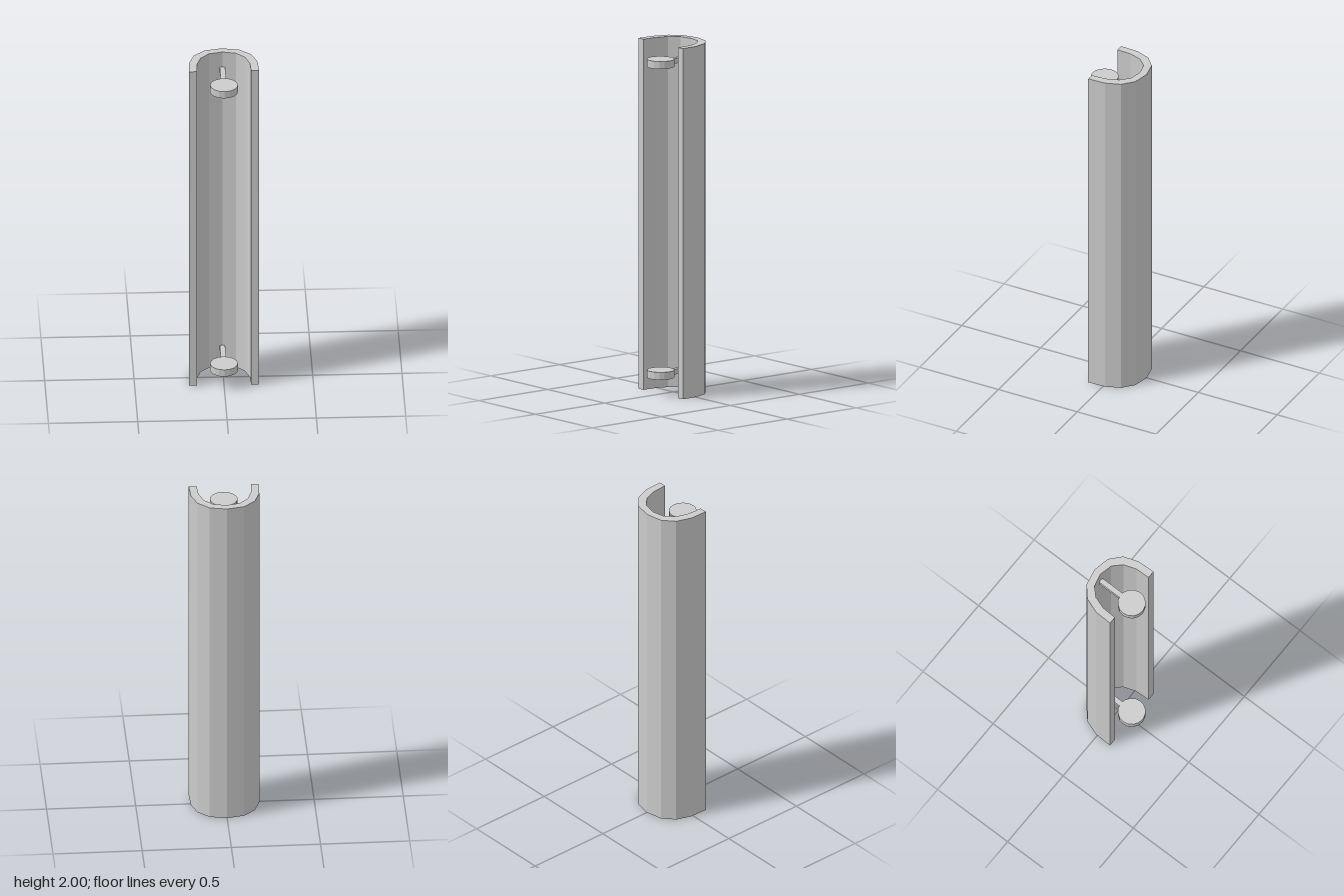
import * as THREE from 'three';

const material = new THREE.MeshStandardMaterial({ color: 0xcccccc, flatShading: true });

// Half cross-sections as [x, z], from the back ridge to the front lip
const OUTER = [[0, -0.173], [0.097, -0.153], [0.161, -0.096], [0.192, -0.01], [0.196, 0.093]];
const INNER = [[0, -0.13], [0.075, -0.113], [0.124, -0.064], [0.148, 0.008], [0.152, 0.093]];

const mirrored = (half) => [
  ...half.slice(1).reverse().map(([x, z]) => [-x, z]),
  ...half,
];

function addMesh(parent, geometry, name, x = 0, y = 0, z = 0) {
  const mesh = new THREE.Mesh(geometry, material);
  mesh.name = name;
  mesh.position.set(x, y, z);
  parent.add(mesh);
}

export function createModel() {
  const model = new THREE.Group();
  model.name = 'openTube';

  // Tall faceted channel, open at the front
  const outline = [...mirrored(OUTER), ...mirrored(INNER).reverse()];
  const shape = new THREE.Shape(outline.map(([x, z]) => new THREE.Vector2(x, -z)));
  const channel = new THREE.ExtrudeGeometry(shape, { depth: 2, bevelEnabled: false });
  channel.rotateX(-Math.PI / 2);
  addMesh(model, channel, 'channel');

  // A disc on a thin arm near each end
  for (const [name, y] of [['lowerHolder', 0.117], ['upperHolder', 1.89]]) {
    const holder = new THREE.Group();
    holder.name = name;
    holder.position.y = y;
    addMesh(holder, new THREE.CylinderGeometry(0.078, 0.078, 0.043, 16), 'disc', 0, 0, 0.093);
    addMesh(holder, new THREE.BoxGeometry(0.03, 0.03, 0.19), 'arm', 0, 0, -0.05);
    model.add(holder);
  }
  return model;
}
